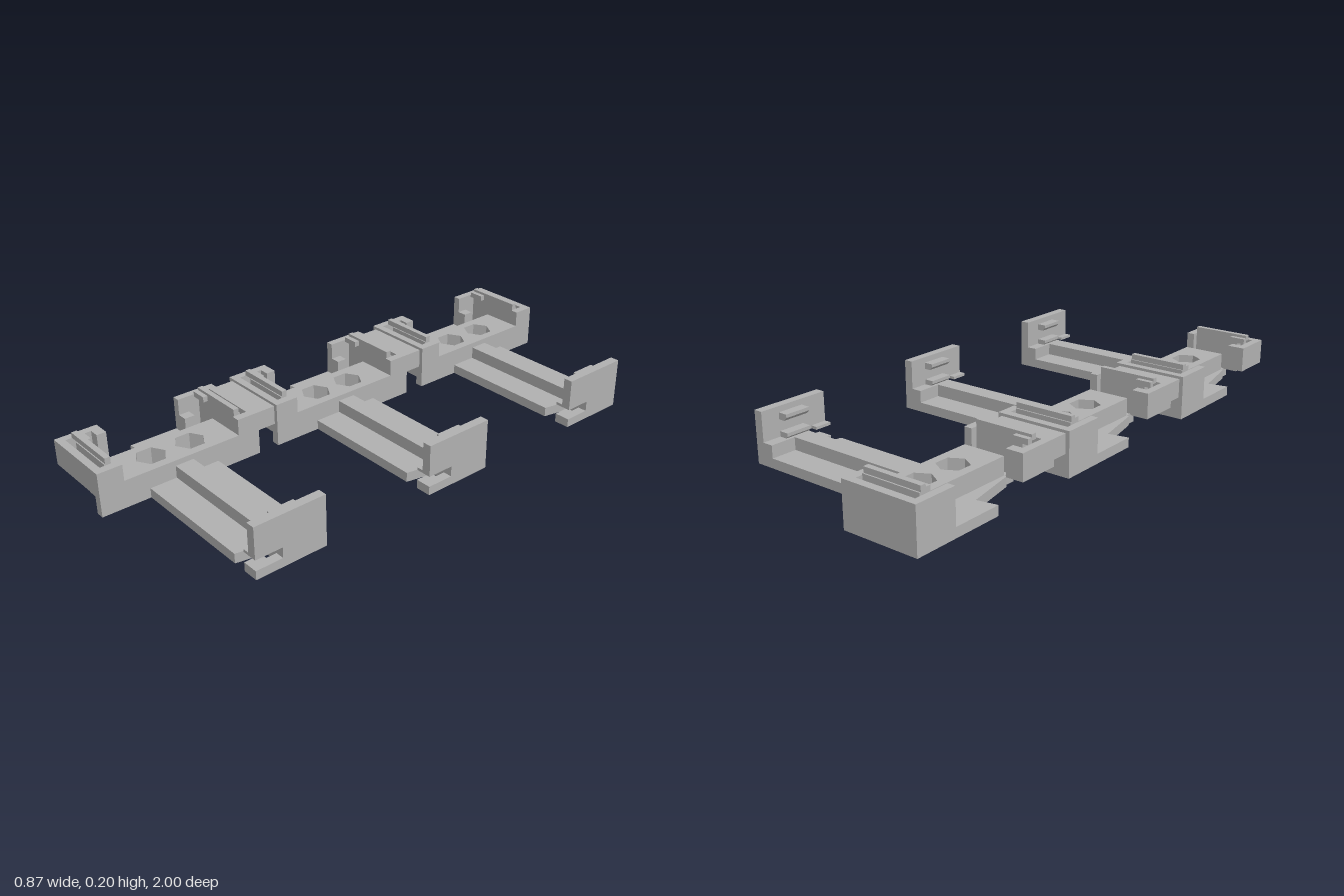
import * as THREE from 'three';

const grey = new THREE.MeshStandardMaterial({ color: 0xb0b0b0 });
grey.name = 'plain grey plastic';

// Box given by its limits on each axis
function box(name, x0, x1, y0, y1, z0, z1) {
  const g = new THREE.BoxGeometry(x1 - x0, y1 - y0, z1 - z0);
  g.translate((x0 + x1) / 2, (y0 + y1) / 2, (z0 + z1) / 2);
  const m = new THREE.Mesh(g, grey);
  m.name = name;
  return m;
}

// Flat plate from an outline in [x, z], with optional holes
function plate(name, outline, y0, y1, holes = []) {
  const toPoints = pts => pts.map(([x, z]) => new THREE.Vector2(x, -z));
  const shape = new THREE.Shape(toPoints(outline));
  holes.forEach(h => shape.holes.push(new THREE.Path(toPoints(h))));
  const g = new THREE.ExtrudeGeometry(shape, { depth: y1 - y0, bevelEnabled: false });
  g.rotateX(-Math.PI / 2);
  g.translate(0, y0, 0);
  const m = new THREE.Mesh(g, grey);
  m.name = name;
  return m;
}

// Regular polygon with a corner on the z axis
function ring(x, z, r, n) {
  return Array.from({ length: n }, (_, i) => {
    const a = (i / n) * Math.PI * 2;
    return [x + r * Math.sin(a), z + r * Math.cos(a)];
  });
}

// Small hook with a sloped underside, running along z
function tooth(name, x, y, z0, z1) {
  const s = new THREE.Shape([[0, 0], [0, 0.024], [-0.036, 0.024], [-0.036, 0.012], [-0.024, 0]]
    .map(p => new THREE.Vector2(...p)));
  const g = new THREE.ExtrudeGeometry(s, { depth: z1 - z0, bevelEnabled: false });
  g.translate(x, y, z0);
  const m = new THREE.Mesh(g, grey);
  m.name = name;
  return m;
}

function createUnit() {
  const unit = new THREE.Group();
  unit.name = 'bracketUnit';
  const holeX = -0.23, holeZ = [-0.08, 0.07];
  const bolts = holeZ.map(z => ring(holeX, z, 0.03, 28));
  const nuts = holeZ.map(z => ring(holeX, z, 0.055, 6));

  // Base with a tapered side foot, and the block with nut pockets
  unit.add(
    plate('basePlate', [[-0.435, -0.308], [-0.15, -0.308], [-0.15, 0.215], [-0.32, 0.215],
      [-0.36, 0.022], [-0.435, 0.036]], 0.01, 0.045, bolts),
    plate('nutBlock', [[-0.31, -0.225], [-0.15, -0.225], [-0.15, 0.215], [-0.31, 0.215]],
      0.045, 0.11, nuts),
  );
  holeZ.forEach((z, i) =>
    unit.add(plate('bottomWasher', ring(holeX, z, 0.072, 36), 0, 0.01, [bolts[i]])));

  // Back holder: closed box end with a spring tongue
  unit.add(
    box('backWall', -0.435, -0.15, 0.045, 0.17, -0.308, -0.28),
    box('backSideWall', -0.435, -0.407, 0.045, 0.17, -0.28, -0.15),
    box('backSideLip', -0.407, -0.37, 0.045, 0.11, -0.19, -0.15),
    box('backCorner', -0.18, -0.15, 0.045, 0.17, -0.28, -0.225),
    box('backTongue', -0.4, -0.18, 0.045, 0.175, -0.255, -0.23),
    box('backTongueTop', -0.4, -0.18, 0.175, 0.195, -0.25, -0.23),
    box('backTongueTooth', -0.4, -0.34, 0.165, 0.185, -0.23, -0.212),
  );

  // Front holder: raised wall with a side hook and a spring tongue
  unit.add(
    box('frontWall', -0.435, -0.18, 0.077, 0.17, 0.278, 0.305),
    box('frontSideWall', -0.435, -0.407, 0.077, 0.17, 0.15, 0.278),
    box('frontSideLip', -0.407, -0.37, 0.077, 0.17, 0.15, 0.185),
    box('frontCorner', -0.18, -0.15, 0.01, 0.17, 0.215, 0.305),
    box('frontTongue', -0.365, -0.18, 0.042, 0.175, 0.238, 0.262),
    box('frontTongueTop', -0.4, -0.18, 0.175, 0.195, 0.238, 0.258),
    box('frontTongueTooth', -0.4, -0.34, 0.165, 0.185, 0.22, 0.238),
    box('frontTongueRoot', -0.31, -0.18, 0.01, 0.045, 0.215, 0.262),
  );

  // Long arm with a central rib
  unit.add(
    plate('arm', [[-0.15, -0.137], [0.4, -0.137], [0.4, 0.028], [0.345, 0.028],
      [0.325, 0.127], [-0.15, 0.127]], 0.01, 0.045),
    box('armRib', -0.15, 0.36, 0.045, 0.09, -0.042, 0.027),
    box('armEndBlock', 0.36, 0.4, 0.045, 0.09, -0.137, 0.028),
  );

  // Upright end wall with a slot at the front and two hooks inside
  unit.add(
    box('endWall', 0.4, 0.433, 0.08, 0.195, -0.137, 0.127),
    box('endWallLower', 0.4, 0.433, 0.01, 0.08, -0.137, 0.028),
    box('endFoot', 0.4, 0.433, 0.01, 0.042, 0.028, 0.127),
    box('endFootPad', 0.375, 0.4, 0.01, 0.042, 0.065, 0.127),
    box('endUpperPad', 0.375, 0.4, 0.08, 0.09, 0.065, 0.127),
    tooth('upperHook', 0.4, 0.15, -0.067, 0.03),
    tooth('lowerHook', 0.4, 0.085, -0.067, 0.03),
  );
  return unit;
}

export function createModel() {
  const model = new THREE.Group();
  model.name = 'tripleBracket';
  const pitch = 0.692;
  for (const i of [-1, 0, 1]) {
    const unit = createUnit();
    unit.position.z = i * pitch + 0.001;
    model.add(unit);
  }
  // Links between neighbouring units
  for (const z of [-0.346, 0.346]) {
    model.add(box('link', -0.42, -0.165, 0.09, 0.16, z - 0.045, z + 0.041));
  }
  return model;
}
